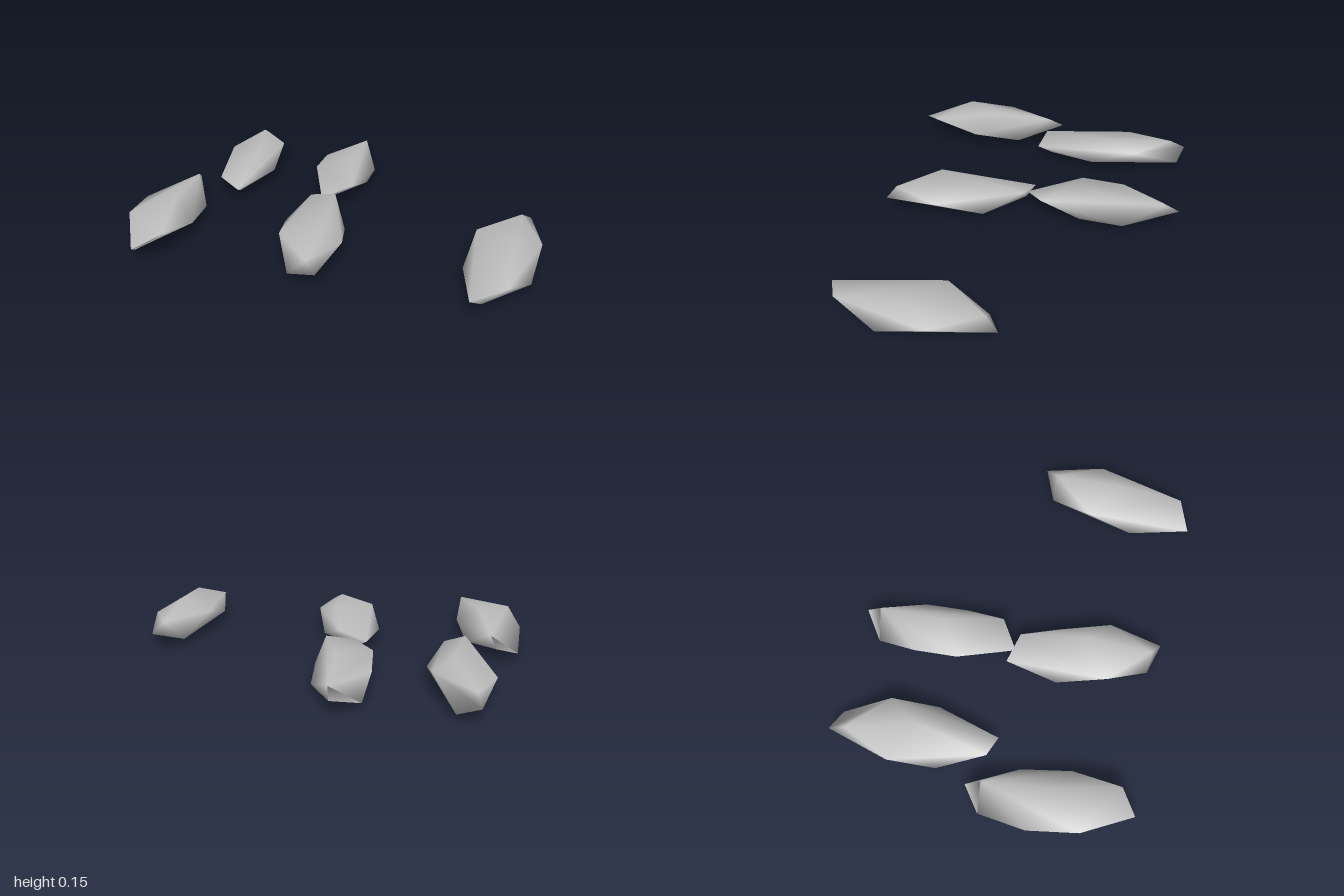
import * as THREE from 'three';
import { mergeVertices } from 'three/addons/utils/BufferGeometryUtils.js';
import { ConvexGeometry } from 'three/addons/geometries/ConvexGeometry.js';

// Each grain has a centre and six corner offsets; every corner has its opposite.
// Order: tip, three flank corners, keel shoulder, crown.
const GRAINS = [
  { name: 'frontRightGrain', centre: [-0.835, 0.085, 0.355], corners: [
    [0.02, 0, 0.415], [0.136, 0.05, 0.325], [0.165, -0.012, 0.08],
    [0.121, -0.05, -0.17], [-0.005, -0.045, 0.34], [0.05, 0.077, 0]] },
  { name: 'frontLeftGrain', centre: [0.833, 0.085, 0.355], corners: [
    [-0.094, 0, 0.41], [0.055, 0.045, 0.34], [0.14, -0.047, 0.13],
    [0.165, 0.025, -0.11], [-0.05, -0.045, 0.345], [0.05, 0.077, 0]] },
  { name: 'frontMiddleGrain', centre: [-0.071, 0.08, 0.363], corners: [
    [0.132, 0, 0.375], [0.177, 0.022, 0.105], [0.119, -0.045, -0.14],
    [0.012, 0.04, -0.335], [-0.075, -0.04, -0.335], [0.07, 0.067, 0]] },
  { name: 'backMiddleGrain', centre: [-0.118, 0.08, -0.38], corners: [
    [-0.017, 0, 0.4], [0.118, 0.045, 0.305], [0.145, -0.022, 0.1],
    [0.135, -0.045, -0.12], [-0.03, -0.04, 0.33], [0.035, 0.066, 0]] },
  { name: 'backRightGrain', centre: [-0.672, 0.08, -0.37], corners: [
    [0.075, 0, 0.415], [0.16, -0.016, 0.09], [0.135, 0.05, -0.145],
    [0.03, -0.045, -0.38], [-0.06, 0.04, -0.335], [0.043, 0.07, 0]] },
];

// Faceted hull over the twelve corners, with smooth normals
function grainGeometry(corners) {
  const points = corners.flatMap(([x, y, z]) => [
    new THREE.Vector3(x, y, z), new THREE.Vector3(-x, -y, -z)]);
  const hull = new ConvexGeometry(points);
  hull.deleteAttribute('normal');
  const geo = mergeVertices(hull, 1e-4);
  geo.computeVertexNormals();
  return geo;
}

export function createModel() {
  const group = new THREE.Group();
  group.name = 'scatteredGrains';
  const grey = new THREE.MeshStandardMaterial({ color: 0xbcbcbc });
  grey.name = 'grey';
  for (const { name, centre, corners } of GRAINS) {
    const mesh = new THREE.Mesh(grainGeometry(corners), grey);
    mesh.name = name;
    mesh.position.set(...centre);
    group.add(mesh);
  }
  return group;
}
